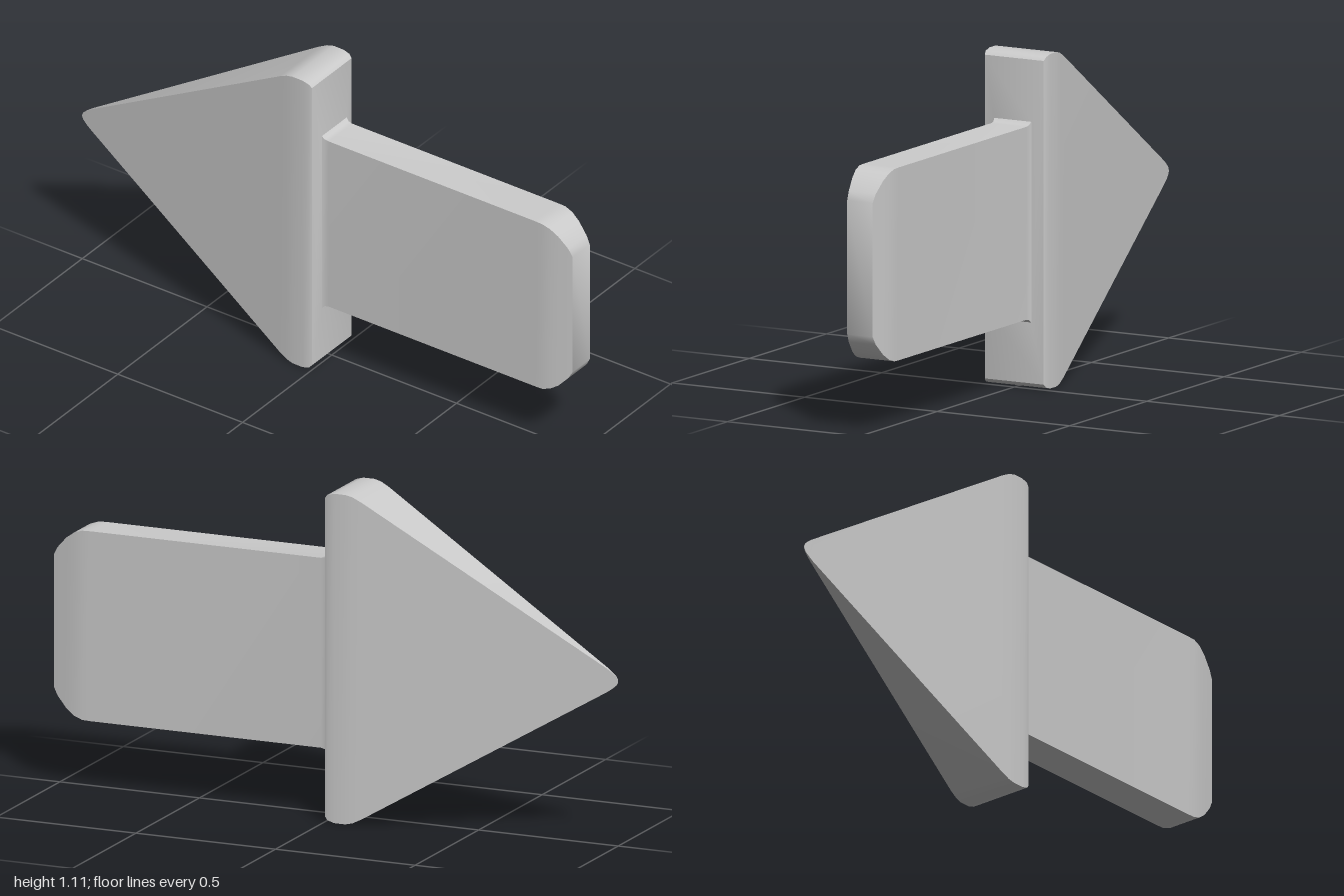
import * as THREE from 'three';
import { toCreasedNormals } from 'three/addons/utils/BufferGeometryUtils.js';

const CENTRE_Y = 0.556;

// Lofts rectangular sections [z, half width, half height], listed from front to back.
function loft(sections, capFront, capBack) {
  const corners = [[1, -1], [1, 1], [-1, 1], [-1, -1]];
  const positions = [];
  const indices = [];
  for (const [z, w, h] of sections) {
    for (const [sx, sy] of corners) positions.push(sx * w, CENTRE_Y + sy * h, z);
  }
  for (let i = 0; i < sections.length - 1; i++) {
    for (let k = 0; k < 4; k++) {
      const a = i * 4 + k;
      const b = i * 4 + (k + 1) % 4;
      indices.push(a, a + 4, b + 4, a, b + 4, b);
    }
  }
  if (capFront) indices.push(0, 1, 2, 0, 2, 3);
  const n = (sections.length - 1) * 4;
  if (capBack) indices.push(n, n + 2, n + 1, n, n + 3, n + 2);
  const geometry = new THREE.BufferGeometry();
  geometry.setAttribute('position', new THREE.Float32BufferAttribute(positions, 3));
  geometry.setIndex(indices);
  return toCreasedNormals(geometry, 0.6);
}

export function createModel() {
  const group = new THREE.Group();
  group.name = 'arrow';
  const material = new THREE.MeshStandardMaterial({ color: 0xcccccc });

  const addPart = (name, geometry) => {
    const mesh = new THREE.Mesh(geometry, material);
    mesh.name = name;
    group.add(mesh);
  };

  // Flat shaft with a rounded end, flaring slightly where it meets the head
  addPart('shaft', loft([
    [1, 0.048, 0.222],
    [0.985, 0.051, 0.25],
    [0.95, 0.058, 0.288],
    [0.92, 0.063, 0.309],
    [0.89, 0.066, 0.319],
    [0.86, 0.066, 0.32],
    [0.035, 0.066, 0.32],
    [0.02, 0.067, 0.323],
    [0.01, 0.07, 0.333],
  ], true, false));

  // Triangular head: rounded shoulders, then a wedge to a thin rounded tip
  addPart('head', loft([
    [0.01, 0.07, 0.333],
    [0, 0.111, 0.537],
    [-0.01, 0.114, 0.548],
    [-0.035, 0.115, 0.555],
    [-0.075, 0.115, 0.555],
    [-0.1, 0.113, 0.549],
    [-0.13, 0.11, 0.534],
    [-0.96, 0.005, 0.041],
    [-0.98, 0.003, 0.027],
    [-0.995, 0.001, 0.014],
    [-1, 0.0005, 0.004],
  ], false, true));

  return group;
}
